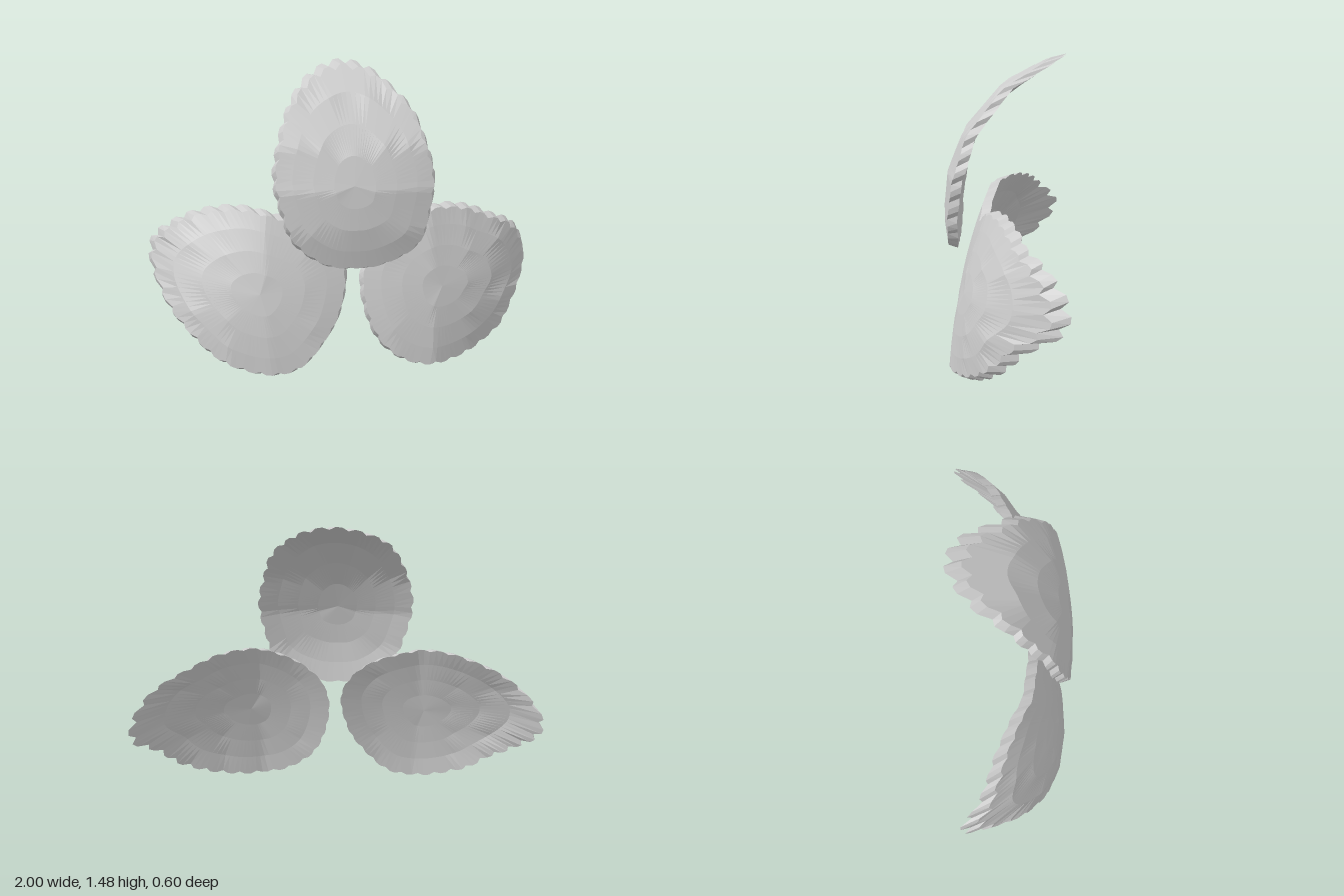
import * as THREE from 'three';

const TEETH = 30, PER = 3, N = TEETH * PER;
const NOTCH = [1, 0.15, 0.15]; // depth of one scallop along its length
const THICK = 0.045;

// Piecewise-linear lookup in [position, value] pairs
function lookup(table, p) {
  let i = 0;
  while (i < table.length - 2 && p > table[i + 1][0]) i++;
  const [p0, v0] = table[i], [p1, v1] = table[i + 1];
  return v0 + (v1 - v0) * (p - p0) / (p1 - p0);
}

// A curved plate with a toothed rim: rings run out over the front, round the rim, and in over the back
function petalGeometry({ outline, centre, depth, base, length }) {
  const curve = new THREE.CatmullRomCurve3(outline.map(([x, y]) => new THREE.Vector3(x, y, 0)), true);
  const edge = curve.getSpacedPoints(N);
  const rings = [
    [0, 0], [0.25, 0], [0.5, 0], [0.75, 0], [0.965, 0],
    [1, THICK], [0.75, THICK * 0.9], [0.5, THICK * 0.9], [0.25, THICK * 0.9], [0, THICK * 0.9],
  ];
  const pos = [], index = [];
  rings.forEach(([scale, back], k) => {
    for (let j = 0; j < N; j++) {
      const p = edge[j];
      // Teeth grow towards the tip; the front row is shifted along the rim
      const reach = Math.hypot(p.x - base[0], p.y - base[1]) / length;
      const rim = k === 4 || k === 5;
      const notch = rim ? NOTCH[(j + (k === 4 ? 1 : 0)) % PER] * (0.015 + 0.035 * reach) : 0;
      const s = scale * (1 - notch);
      const x = centre[0] + (p.x - centre[0]) * s;
      const y = centre[1] + (p.y - centre[1]) * s;
      pos.push(x, y, depth(x, y) - back);
    }
  });
  for (let k = 0; k < rings.length - 1; k++) {
    for (let j = 0; j < N; j++) {
      const n = (j + 1) % N;
      const a = k * N + j, b = k * N + n, c = a + N, d = b + N;
      if (k < rings.length - 2) index.push(a, c, d);
      if (k > 0) index.push(a, d, b);
    }
  }
  const g = new THREE.BufferGeometry();
  g.setAttribute('position', new THREE.Float32BufferAttribute(pos, 3));
  g.setIndex(index);
  const flat = g.toNonIndexed();
  flat.computeVertexNormals();
  return flat;
}

// Upper petal: curls backward with height, domed across, flatter towards the tip
const upperCurl = [[0.53, 0.28], [0.72, 0.305], [0.92, 0.285], [1.12, 0.205], [1.33, 0.02], [1.49, -0.265]];
const upperDome = [[0.53, 0.3], [0.95, 0.28], [1.3, 0.1], [1.5, 0.1]];
const upperDepth = (x, y) => lookup(upperCurl, y) - lookup(upperDome, y) * x * x;

// Side petals: curl backward away from the middle, lean back with height, domed across
const sideDome = [[0, 0.2], [0.4, 0.22], [0.6, 0.4], [0.78, 0.6], [1, 0.7]];
const sideDepth = (curl, lean) => (x, y) => {
  const reach = Math.abs(x), h = y - 0.42;
  return lookup(curl, reach) - lookup(lean, reach) * h - lookup(sideDome, reach) * h * h;
};
const leftDepth = sideDepth(
  [[0.02, 0.185], [0.2, 0.207], [0.4, 0.2], [0.6, 0.143], [0.78, 0.055], [0.9, -0.067], [1, -0.23]],
  [[0, 0.24], [0.6, 0.25], [0.78, 0.26], [1, 0.22]]);
const rightDepth = sideDepth(
  [[0.02, 0.185], [0.2, 0.21], [0.42, 0.205], [0.61, 0.16], [0.78, 0.09], [0.9, -0.015], [1, -0.19]],
  [[0, 0.24], [0.42, 0.26], [0.61, 0.35], [0.78, 0.39], [1, 0.37]]);

const petals = {
  upperPetal: {
    outline: [[0, 0.535], [0.13, 0.545], [0.32, 0.64], [0.375, 0.79], [0.405, 0.98], [0.375, 1.12],
      [0.325, 1.27], [0.24, 1.37], [0.14, 1.45], [0, 1.485], [-0.15, 1.44], [-0.26, 1.35],
      [-0.34, 1.19], [-0.385, 0.98], [-0.355, 0.82], [-0.29, 0.66], [-0.13, 0.55]],
    centre: [0, 0.95], depth: upperDepth, base: [0, 0.535], length: 0.95,
  },
  leftPetal: {
    outline: [[0.045, 0.5], [0.05, 0.33], [0.125, 0.14], [0.265, 0.035], [0.42, 0.01], [0.6, 0.04],
      [0.8, 0.14], [0.91, 0.275], [1, 0.4], [0.98, 0.53], [0.9, 0.635], [0.74, 0.715],
      [0.6, 0.775], [0.41, 0.79], [0.22, 0.72], [0.1, 0.62]],
    centre: [0.45, 0.41], depth: leftDepth, base: [0.045, 0.45], length: 0.95,
  },
  rightPetal: {
    outline: [[-0.02, 0.52], [-0.055, 0.29], [-0.125, 0.17], [-0.26, 0.03], [-0.39, 0], [-0.53, 0.02],
      [-0.68, 0.08], [-0.79, 0.175], [-0.905, 0.29], [-1, 0.47], [-0.985, 0.59], [-0.87, 0.7],
      [-0.74, 0.765], [-0.53, 0.805], [-0.34, 0.77], [-0.12, 0.67]].reverse(),
    centre: [-0.45, 0.41], depth: rightDepth, base: [-0.02, 0.45], length: 0.98,
  },
};

export function createModel() {
  const grey = new THREE.MeshStandardMaterial({ color: 0xcccccc, flatShading: true });
  grey.name = 'light grey';
  const group = new THREE.Group();
  group.name = 'threePetals';
  for (const [name, petal] of Object.entries(petals)) {
    const mesh = new THREE.Mesh(petalGeometry(petal), grey);
    mesh.name = name;
    group.add(mesh);
  }
  return group;
}
